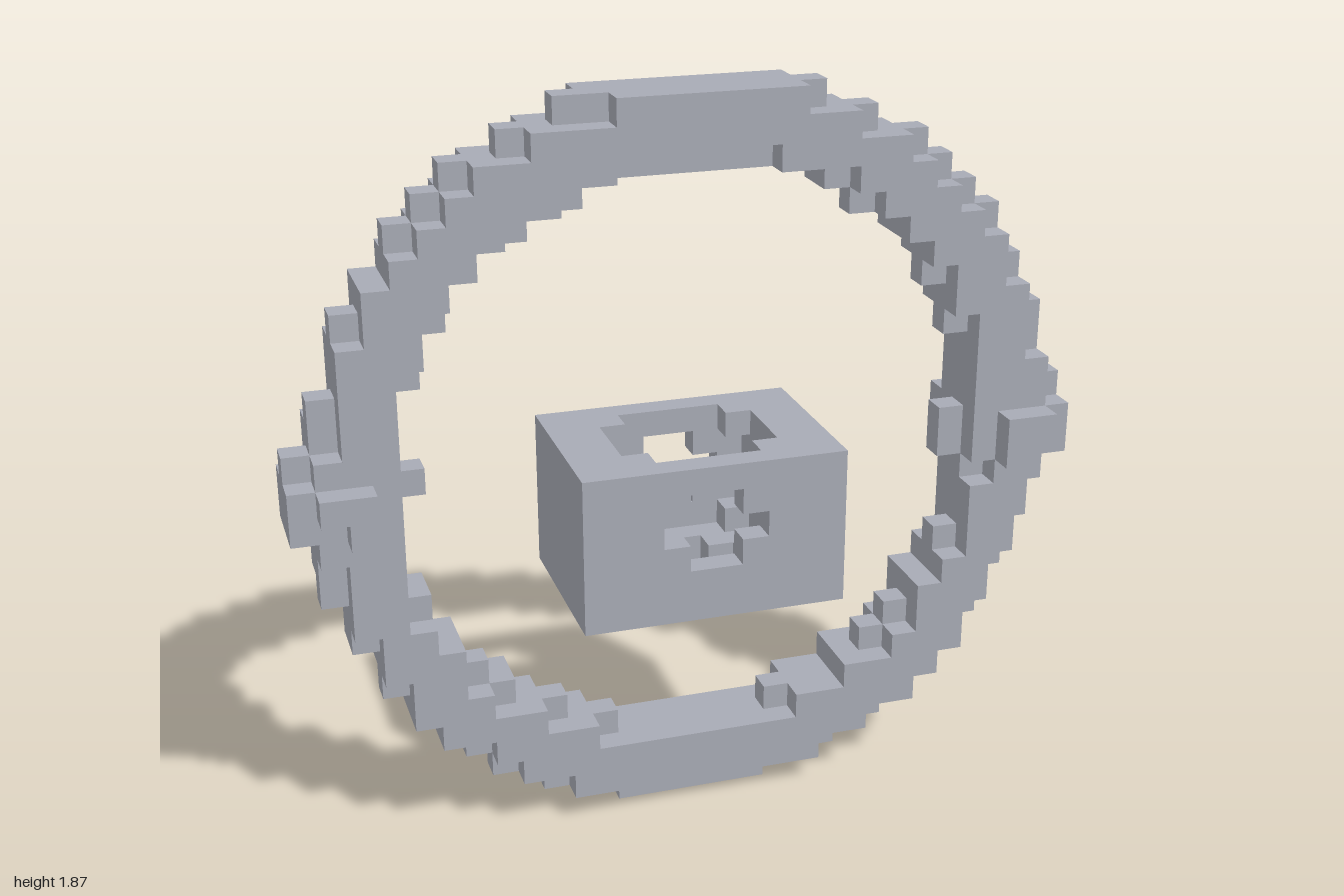
import * as THREE from 'three';

const UNIT = 1 / 15; // edge of one cube

// Emits the exposed cube faces of every cell that satisfies inside(x, y, z)
function voxelGeometry(inside, [x0, x1], [y0, y1], [z0, z1]) {
  const positions = [], normals = [];
  const addFace = (centre, axis, sign) => {
    const u = (axis + 1) % 3, v = (axis + 2) % 3;
    const corner = (a, b) => {
      const p = [...centre];
      p[axis] += sign / 2;
      p[u] += a / 2;
      p[v] += b * sign / 2;
      return p.map((c) => c * UNIT);
    };
    const [a, b, c, d] = [corner(-1, -1), corner(1, -1), corner(1, 1), corner(-1, 1)];
    const normal = [0, 0, 0];
    normal[axis] = sign;
    for (const p of [a, b, c, a, c, d]) {
      positions.push(...p);
      normals.push(...normal);
    }
  };
  for (let x = x0; x <= x1; x++)
    for (let y = y0; y <= y1; y++)
      for (let z = z0; z <= z1; z++) {
        const cell = [x, y, z];
        const centre = [x + 0.5, y + 0.5, z];
        if (!inside(...centre)) continue;
        for (let axis = 0; axis < 3; axis++)
          for (const sign of [-1, 1]) {
            const next = [...centre];
            next[axis] += sign;
            if (!inside(...next)) addFace(centre, axis, sign);
          }
      }
  const geometry = new THREE.BufferGeometry();
  geometry.setAttribute('position', new THREE.Float32BufferAttribute(positions, 3));
  geometry.setAttribute('normal', new THREE.Float32BufferAttribute(normals, 3));
  return geometry;
}

// Rules for the solids, measured in cubes
const CENTRE_Y = 14.25, CENTRE_Z = -0.06;
const inRing = (x, y, z) => {
  const d = Math.hypot(x - 0.02, y - CENTRE_Y) - 12.67;
  return d * d + (z - CENTRE_Z) ** 2 < 2.19;
};
const inKnob = (cx) => (x, y, z) =>
  (x - cx) ** 2 + (y - CENTRE_Y) ** 2 + (z - CENTRE_Z) ** 2 < 5.38;
const inHub = (x, y, z) =>
  Math.abs(x) < 5 && y > 9 && y < 15 && Math.abs(z) < 3.5 &&
  x * x + (y - 12.5) ** 2 + z * z > 11.8; // round cavity breaking through the walls

export function createModel() {
  const group = new THREE.Group();
  const grey = new THREE.MeshStandardMaterial({ color: 0xa8abb5 });
  grey.name = 'stone grey';

  const add = (name, inside, ...ranges) => {
    const mesh = new THREE.Mesh(voxelGeometry(inside, ...ranges), grey);
    mesh.name = name;
    group.add(mesh);
  };

  // Large stepped ring
  add('ring', inRing, [-15, 14], [0, 27], [-2, 2]);

  // Small knobs on both sides of the ring
  add('leftKnob', inKnob(12.67), [9, 15], [11, 17], [-3, 3]);
  add('rightKnob', inKnob(-12.71), [-16, -10], [11, 17], [-3, 3]);

  // Hollowed block floating in the middle
  add('hollowBlock', inHub, [-5, 4], [9, 14], [-3, 3]);

  return group;
}
